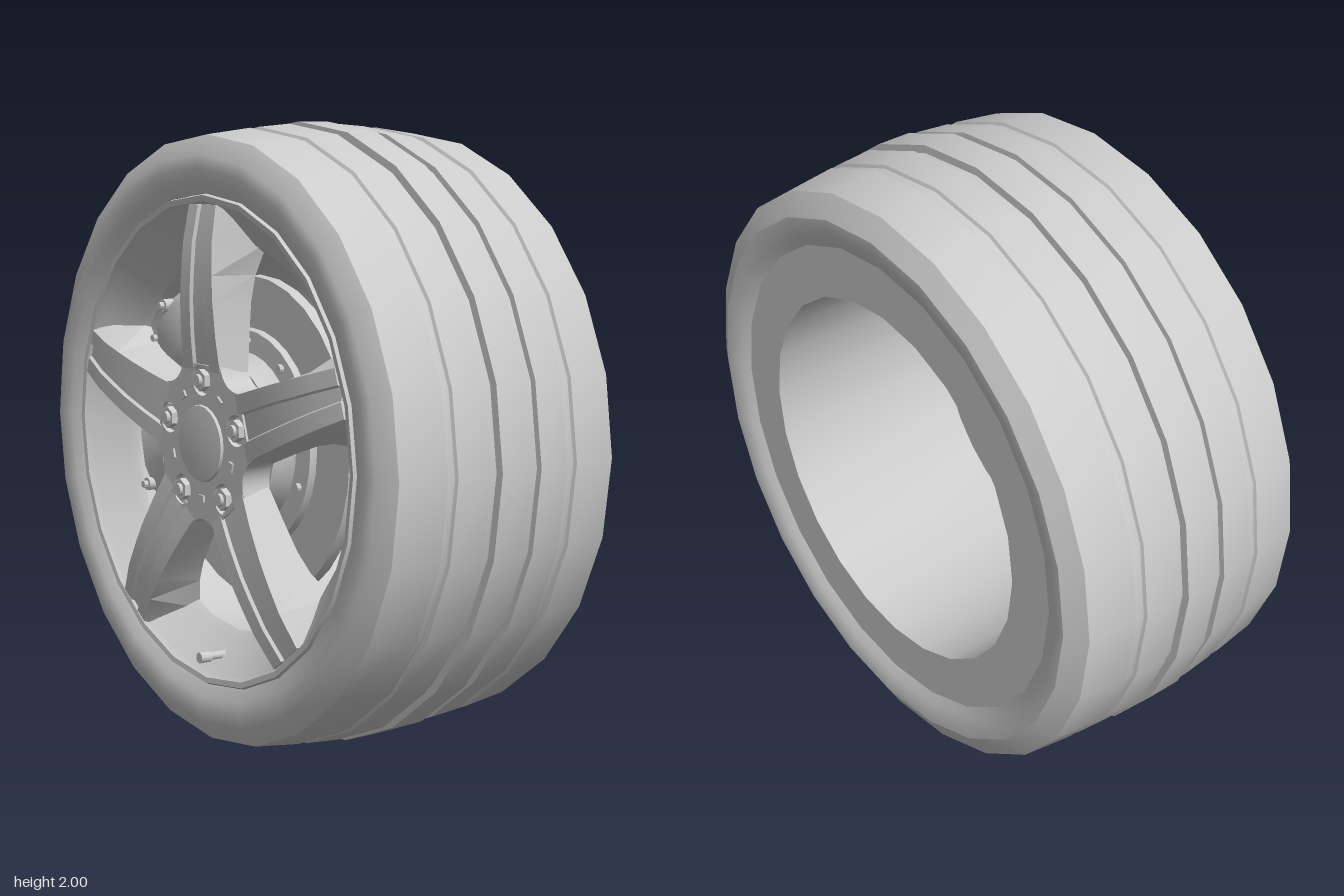
import * as THREE from 'three';
import { toCreasedNormals } from 'three/addons/utils/BufferGeometryUtils.js';

const MAT = new THREE.MeshStandardMaterial({ color: 0xcccccc });

function add(parent, name, geo) {
  const mesh = new THREE.Mesh(geo, MAT);
  mesh.name = name;
  parent.add(mesh);
  return mesh;
}

// Lathe around the z axis; profile points are [radius, z]
function turned(profile, sides = 24, crease = 0.5) {
  const geo = new THREE.LatheGeometry(profile.map(p => new THREE.Vector2(p[0], p[1])), sides);
  return toCreasedNormals(geo.rotateX(Math.PI / 2), crease);
}

// Solid cylinder along z from z0 to z1
function rod(radius, z0, z1, sides = 12, x = 0, y = 0) {
  const geo = new THREE.CylinderGeometry(radius, radius, z1 - z0, sides).rotateX(Math.PI / 2);
  return toCreasedNormals(geo.translate(x, y, (z0 + z1) / 2), 0.7);
}

// Closed solid through equal-sized rings of Vector3
function loft(rings, crease) {
  const n = rings[0].length, last = (rings.length - 1) * n, index = [];
  for (let r = 0; r < rings.length - 1; r++) {
    for (let i = 0; i < n; i++) {
      const a = r * n + i, b = r * n + (i + 1) % n;
      index.push(a, b, b + n, a, b + n, a + n);
    }
  }
  for (let i = 1; i < n - 1; i++) index.push(0, i + 1, i, last, last + i, last + i + 1);
  const geo = new THREE.BufferGeometry().setFromPoints(rings.flat());
  geo.setIndex(index);
  return toCreasedNormals(geo, crease);
}

const polar = (r, a) => [r * Math.cos(a), r * Math.sin(a)];
const SPOKE_ANGLES = [0, 1, 2, 3, 4].map(i => Math.PI / 2 + i * Math.PI * 2 / 5);

function spokeGeometry() {
  // radius, front half width, back half width, front z, back z, groove half width
  const sections = [
    [0.23, 0.105, 0.115, 0.428, 0.33, 0.046],
    [0.34, 0.098, 0.108, 0.44, 0.32, 0.042],
    [0.45, 0.092, 0.105, 0.446, 0.31, 0.038],
    [0.53, 0.087, 0.115, 0.445, 0.30, 0.034],
    [0.63, 0.081, 0.15, 0.44, 0.28, 0.03],
    [0.745, 0.075, 0.13, 0.42, 0.33, 0.025],
  ];
  return loft(sections.map(([r, wf, wb, zf, zb, g]) => [
    [-wb, zb], [-wf, zf], [-g, zf], [-g + 0.006, zf - 0.01],
    [g - 0.006, zf - 0.01], [g, zf], [wf, zf], [wb, zb],
  ].map(([x, z]) => new THREE.Vector3(x, r, z))), 0.35);
}

// Star-shaped hub plate with a hole for each lug nut
function hubGeometry() {
  const shape = new THREE.Shape();
  SPOKE_ANGLES.forEach((a, i) => {
    const p = polar(0.27, a - 0.4), q = polar(0.27, a + 0.4);
    if (i) shape.lineTo(...p); else shape.moveTo(...p);
    shape.lineTo(...q);
    shape.quadraticCurveTo(...polar(0.22, a + Math.PI / 5), ...polar(0.27, a + Math.PI * 2 / 5 - 0.4));
    const hole = new THREE.Path();
    hole.absarc(...polar(0.2, a), 0.05, 0, Math.PI * 2, true);
    shape.holes.push(hole);
  });
  const geo = new THREE.ExtrudeGeometry(shape, { depth: 0.1, bevelEnabled: false, curveSegments: 8 });
  return toCreasedNormals(geo.translate(0, 0, 0.328), 0.5);
}

function buildTyre(parent) {
  add(parent, 'tyre', turned([
    [0.79, -0.42], [0.82, -0.437], [0.855, -0.449], [0.89, -0.45], [0.962, -0.412],
    [0.982, -0.25], [0.972, -0.245], [0.975, -0.215], [0.985, -0.21],
    [0.993, -0.1], [0.975, -0.098], [0.975, -0.062], [1, -0.06],
    [1, 0.055], [0.975, 0.057], [0.975, 0.088], [0.993, 0.09],
    [0.983, 0.205], [0.973, 0.21], [0.971, 0.235], [0.98, 0.24],
    [0.96, 0.4], [0.9, 0.435], [0.86, 0.44], [0.82, 0.432], [0.78, 0.41],
  ]));
}

function buildRim(parent) {
  // Lip, dished front, barrel and flat back flange
  add(parent, 'rimBarrel', turned([
    [0.78, 0.405], [0.775, 0.42], [0.757, 0.418], [0.745, 0.4],
    [0.64, 0.315], [0.62, 0.29], [0.62, -0.42], [0.795, -0.42],
  ]));
  const spoke = spokeGeometry();
  SPOKE_ANGLES.forEach(a => {
    add(parent, 'spoke', spoke).rotation.z = a - Math.PI / 2;
    // Small square notch block between the lug nuts
    const [x, y] = polar(0.175, a + Math.PI / 5);
    const block = add(parent, 'hubBlock', new THREE.BoxGeometry(0.03, 0.022, 0.02));
    block.position.set(x, y, 0.425);
    block.rotation.z = a + Math.PI / 5 - Math.PI / 2;
  });
  add(parent, 'hubPlate', hubGeometry());
  add(parent, 'centreCap', turned([[0.125, 0.42], [0.12, 0.437], [0.07, 0.442], [0, 0.443]]));
  add(parent, 'valveStem', rod(0.013, 0.34, 0.42, 10, 0, -0.69));
  add(parent, 'valveCap', rod(0.018, 0.405, 0.445, 10, 0, -0.69));
}

function buildBrakeDisc(parent) {
  add(parent, 'brakeDisc', turned([
    [0, 0.215], [0.11, 0.215], [0.11, 0.205], [0.365, 0.205], [0.365, 0.2], [0.52, 0.2],
    [0.52, 0.24], [0.355, 0.24], [0.35, 0.262], [0.28, 0.265], [0.265, 0.29],
    [0.25, 0.328], [0, 0.328],
  ], 32));
  for (let i = 0; i < 10; i++) {
    add(parent, 'discRivet', rod(0.014, 0.255, 0.278, 8, ...polar(0.315, (i + 0.4) * Math.PI / 5)));
  }
  // Lug nuts in front, wheel studs showing behind
  SPOKE_ANGLES.forEach(a => {
    const p = polar(0.2, a);
    add(parent, 'lugWasher', rod(0.043, 0.33, 0.415, 14, ...p));
    add(parent, 'lugNut', rod(0.035, 0.4, 0.437, 6, ...p));
    add(parent, 'lugTip', rod(0.02, 0.43, 0.449, 10, ...p));
    add(parent, 'wheelStud', rod(0.024, 0.14, 0.22, 12, ...p));
    add(parent, 'studHead', rod(0.031, 0.125, 0.155, 12, ...p));
  });
}

function buildCaliper(parent) {
  // angle in degrees, inner radius, outer radius, front z, back z
  const sections = [
    [117, 0.45, 0.54, 0.285, 0.15], [121, 0.40, 0.565, 0.305, 0.13],
    [132, 0.38, 0.57, 0.325, 0.115], [143, 0.37, 0.575, 0.325, 0.115],
    [150, 0.37, 0.545, 0.305, 0.135], [158, 0.365, 0.55, 0.305, 0.135],
    [167, 0.36, 0.56, 0.32, 0.12], [176, 0.36, 0.575, 0.305, 0.135],
    [184, 0.365, 0.575, 0.325, 0.115], [196, 0.38, 0.57, 0.325, 0.115],
    [208, 0.41, 0.565, 0.305, 0.13], [212, 0.45, 0.54, 0.285, 0.15],
  ];
  add(parent, 'brakeCaliper', loft(sections.map(([deg, ri, ro, zf, zb]) => {
    const b = 0.035;
    return [[ri, zf - b], [ri + b, zf], [ro - b, zf], [ro, zf - b],
      [ro, zb + b], [ro - b, zb], [ri + b, zb], [ri, zb + b]].map(([r, z]) =>
      new THREE.Vector3(...polar(r, THREE.MathUtils.degToRad(deg)), z));
  }), 0.7));
  // Bleed screws on the rim side and bolts on the face
  for (const [deg, r, z0, z1] of [[149, 0.555, 0.17, 0.3], [180, 0.575, 0.17, 0.3],
    [133, 0.55, 0.28, 0.335], [203, 0.53, 0.28, 0.335]]) {
    const p = polar(r, THREE.MathUtils.degToRad(deg));
    add(parent, 'caliperBolt', rod(0.022, z0, z1, 10, ...p));
    add(parent, 'caliperBoltTip', rod(0.012, z1, z1 + 0.015, 8, ...p));
  }
}

export function createModel() {
  const model = new THREE.Group();
  model.name = 'wheel';
  const parts = { tyre: buildTyre, rim: buildRim, brakeDiscAssembly: buildBrakeDisc, caliperAssembly: buildCaliper };
  for (const [name, build] of Object.entries(parts)) {
    const group = new THREE.Group();
    group.name = name;
    group.position.y = 1;
    build(group);
    model.add(group);
  }
  return model;
}
